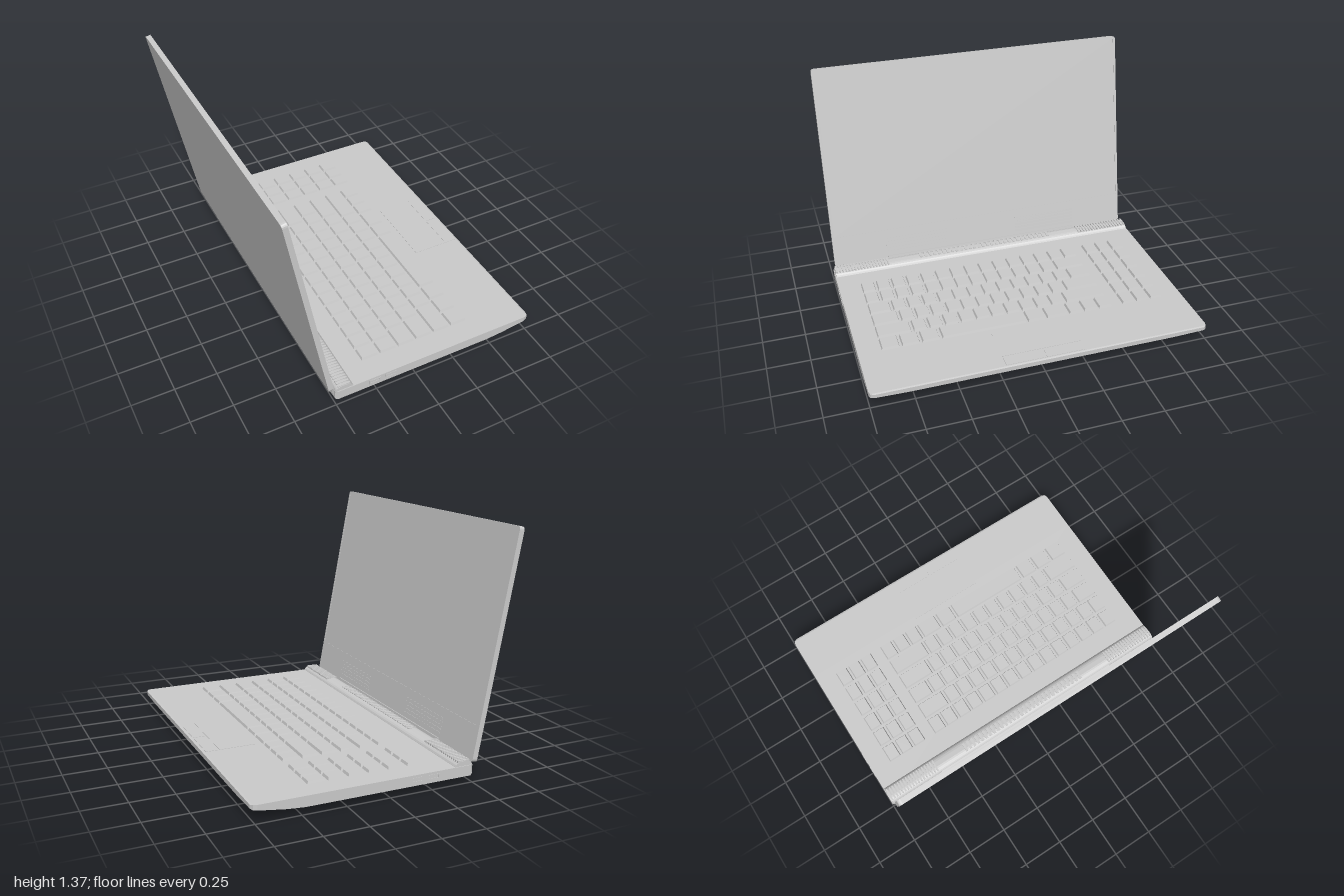
import * as THREE from 'three';

const grey = new THREE.MeshStandardMaterial({ color: 0xcccccc, flatShading: true });

function add(parent, name, geometry, x = 0, y = 0, z = 0) {
  const mesh = new THREE.Mesh(geometry, grey);
  mesh.name = name;
  mesh.position.set(x, y, z);
  parent.add(mesh);
  return mesh;
}

// Box given by its limits on each axis
function block(parent, name, x0, x1, y0, y1, z0, z1) {
  return add(parent, name, new THREE.BoxGeometry(x1 - x0, y1 - y0, z1 - z0),
    (x0 + x1) / 2, (y0 + y1) / 2, (z0 + z1) / 2);
}

function group(parent, name) {
  const g = new THREE.Group();
  g.name = name;
  parent.add(g);
  return g;
}

// Rounded rectangle in the (z, y) plane
function roundRect(Path, hw, y0, y1, r) {
  const p = new Path();
  p.moveTo(-hw + r, y0);
  p.lineTo(hw - r, y0);
  p.quadraticCurveTo(hw, y0, hw, y0 + r);
  p.lineTo(hw, y1 - r);
  p.quadraticCurveTo(hw, y1, hw - r, y1);
  p.lineTo(-hw + r, y1);
  p.quadraticCurveTo(-hw, y1, -hw, y1 - r);
  p.lineTo(-hw, y0 + r);
  p.quadraticCurveTo(-hw, y0, -hw + r, y0);
  return p;
}

// Extrude a (z, y) shape along x
function slab(shape, depth) {
  return new THREE.ExtrudeGeometry(shape, { depth, bevelEnabled: false, curveSegments: 4 })
    .rotateY(Math.PI / 2);
}

// Base shell: cross-sections along x with chamfered lower sides and a rising front
function baseGeometry() {
  // x, half width, underside, chamfer edge, top
  const stations = [
    [-0.5, 0.99, 0.004, 0.04, 0.1], [-0.49, 1, 0.004, 0.04, 0.1], [0.48, 1, 0.004, 0.04, 0.1],
    [0.58, 1, 0.022, 0.048, 0.1], [0.735, 1, 0.06, 0.07, 0.1],
    [0.757, 0.993, 0.066, 0.073, 0.1], [0.767, 0.975, 0.07, 0.076, 0.097],
  ];
  const pos = [], index = [], n = 6;
  for (const [x, w, bottom, side, top] of stations) {
    const ring = [[-w, top], [-w, side], [-0.8 * w, bottom], [0.8 * w, bottom], [w, side], [w, top]];
    for (const [z, y] of ring) pos.push(x, y, z);
  }
  const last = (stations.length - 1) * n;
  for (let i = 0; i < last; i += n) {
    for (let j = 0; j < n; j++) {
      const a = i + j, b = i + (j + 1) % n;
      index.push(a, a + n, b, b, a + n, b + n);
    }
  }
  for (let j = 1; j < n - 1; j++) {
    index.push(0, j, j + 1);
    index.push(last, last + j + 1, last + j);
  }
  const g = new THREE.BufferGeometry();
  g.setAttribute('position', new THREE.Float32BufferAttribute(pos, 3));
  g.setIndex(index);
  const flat = g.toNonIndexed();
  flat.computeVertexNormals();
  return flat;
}

// Key cap: box with its top face drawn in
function key(parent, x, z, dx, dz) {
  const g = new THREE.BoxGeometry(dx, 0.018, dz);
  const p = g.attributes.position;
  for (let i = 0; i < p.count; i++) {
    if (p.getY(i) > 0) {
      p.setX(i, p.getX(i) - Math.sign(p.getX(i)) * 0.006);
      p.setZ(i, p.getZ(i) - Math.sign(p.getZ(i)) * 0.006);
    }
  }
  g.computeVertexNormals();
  add(parent, 'key', g, x, 0.106, z);
}

function buildKeyboard(base) {
  const keyboard = group(base, 'keyboard');
  const ones = (k) => Array(k).fill(1);
  const rows = [
    ones(15), [...ones(13), 2], [1.5, ...ones(12), 1.5], [1.75, ...ones(11), 2.25],
    [2.25, ...ones(10), 2.75], [1.25, 1.25, 1.25, 5.5, 1.25, 1.5, 1, 1, 1],
  ];
  const unit = 1.42 / 15, pitch = 0.117;
  rows.forEach((row, r) => {
    const x = -0.22 + r * pitch;
    let z = 0.87;
    for (const w of row) {
      key(keyboard, x, z - w * unit / 2, pitch - 0.014, w * unit - 0.012);
      z -= w * unit;
    }
    // Number pad
    for (let c = 0; c < 3; c++) key(keyboard, x, -0.655 - c * 0.091, pitch - 0.014, 0.079);
  });
}

function buildBase(model) {
  const base = group(model, 'base');
  add(base, 'baseShell', baseGeometry());

  // Raised rear bar with rounded top
  const bar = new THREE.Shape();
  bar.moveTo(-0.5, 0.09);
  bar.lineTo(-0.498, 0.105);
  bar.quadraticCurveTo(-0.49, 0.126, -0.46, 0.128);
  bar.lineTo(-0.43, 0.126);
  bar.quadraticCurveTo(-0.395, 0.122, -0.39, 0.09);
  const barGeo = new THREE.ExtrudeGeometry(bar, { depth: 1.99, bevelEnabled: false, curveSegments: 5 });
  add(base, 'rearBar', barGeo, 0, 0, -0.995);

  // Vent fins on the bar: both ends and the middle
  const vents = group(base, 'rearVents');
  for (const s of [-1, 1]) {
    for (let i = 0; i < 18; i++) {
      const z = s * (0.655 + i * 0.0195);
      block(vents, 'topFin', -0.485, -0.41, 0.12, 0.131, z - 0.005, z + 0.005);
      block(vents, 'rearFin', -0.503, -0.49, 0.045, 0.1, z - 0.005, z + 0.005);
    }
  }
  for (let i = 0; i < 30; i++) {
    const z = -0.435 + i * 0.03;
    block(vents, 'middleFin', -0.478, -0.425, 0.12, 0.13, z - 0.008, z + 0.008);
  }

  buildKeyboard(base);

  // Touchpad with two buttons
  block(base, 'touchpad', 0.46, 0.67, 0.095, 0.102, -0.24, 0.23);
  block(base, 'touchpadButton', 0.677, 0.75, 0.095, 0.102, 0, 0.23);
  block(base, 'touchpadButton', 0.677, 0.75, 0.095, 0.102, -0.24, -0.01);

  // Ports on the sides and the rear
  const ports = group(base, 'ports');
  for (const s of [-1, 1]) {
    for (const x of [-0.26, -0.16]) {
      const frame = new THREE.Shape([[-0.035, -0.013], [0.035, -0.013], [0.035, 0.013], [-0.035, 0.013]]
        .map(([a, b]) => new THREE.Vector2(a, b)));
      frame.holes.push(new THREE.Path([[-0.028, -0.007], [-0.028, 0.007], [0.028, 0.007], [0.028, -0.007]]
        .map(([a, b]) => new THREE.Vector2(a, b))));
      add(ports, 'sidePort', new THREE.ExtrudeGeometry(frame, { depth: 0.004, bevelEnabled: false }),
        x, 0.073, s * 1 - 0.002);
    }
  }
  for (const z of [-0.4, -0.15, 0.1, 0.4]) block(ports, 'rearPort', -0.503, -0.49, 0.055, 0.09, z - 0.04, z + 0.04);

  // Underside feet and intake slats
  const under = group(base, 'underside');
  block(under, 'rearFoot', -0.46, -0.42, 0, 0.01, -0.7, 0.7);
  for (const s of [-1, 1]) {
    block(under, 'frontFoot', 0.4, 0.44, 0, 0.01, s * 0.55 - 0.15, s * 0.55 + 0.15);
    for (let i = 0; i < 8; i++) {
      const x = -0.3 + i * 0.035;
      block(under, 'intakeSlat', x, x + 0.015, 0.002, 0.01, s * 0.45 - 0.2, s * 0.45 + 0.2);
    }
  }
}

function buildScreen(model) {
  // Local frame: x = 0 is the bezel front, y runs up the lid
  const screen = group(model, 'screen');
  screen.position.set(-0.505, 0.105, 0);
  screen.rotation.z = 0.184;

  add(screen, 'lid', slab(roundRect(THREE.Shape, 0.985, 0, 1.285, 0.02), 0.026), -0.03);
  const bezel = roundRect(THREE.Shape, 0.985, 0, 1.285, 0.02);
  bezel.holes.push(roundRect(THREE.Path, 0.97, 0.2, 1.27, 0.004));
  add(screen, 'bezel', slab(bezel, 0.004), -0.004);
  block(screen, 'displayPanel', -0.006, -0.002, 0.2, 1.27, -0.97, 0.97);

  // Hinge strip under the display
  block(screen, 'hingeStrip', -0.022, 0.008, -0.012, 0.022, -0.64, 0.64);

  // Fine grilles on the chin
  const grilles = group(screen, 'chinGrilles');
  for (const s of [-1, 1]) {
    for (let r = 0; r < 5; r++) {
      const y = 0.045 + r * 0.022;
      block(grilles, 'grilleBar', -0.002, 0.002, y, y + 0.01, s * 0.44 - 0.205, s * 0.44 + 0.205);
    }
  }
}

export function createModel() {
  const model = new THREE.Group();
  model.name = 'laptop';
  buildBase(model);
  buildScreen(model);
  return model;
}
